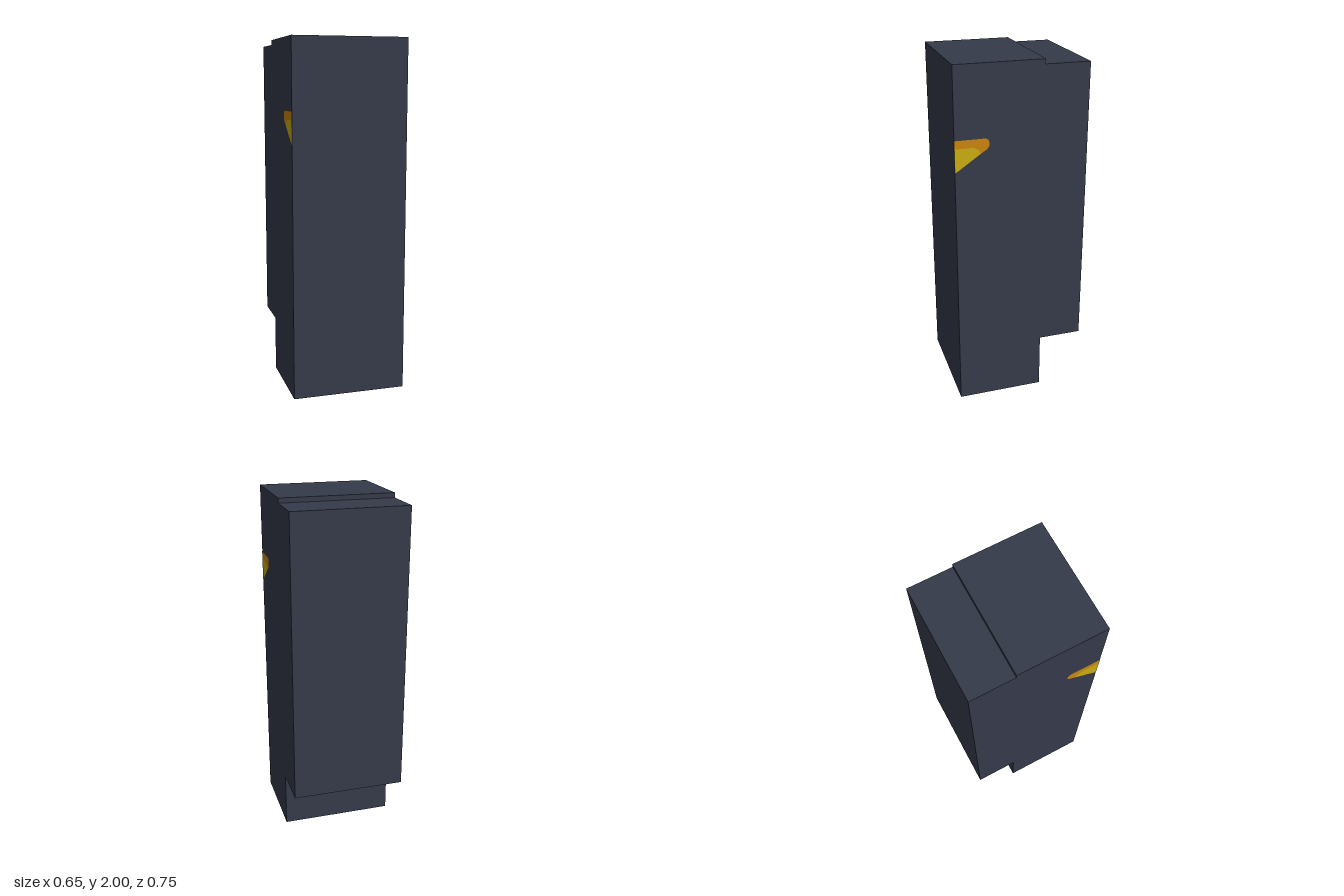
import * as THREE from 'three';

export function createModel() {
  const model = new THREE.Group();
  const slate = new THREE.MeshStandardMaterial({ name: 'dark slate', color: 0x353a4a });
  const orange = new THREE.MeshStandardMaterial({ name: 'orange', color: 0xc9840f });
  const yellow = new THREE.MeshStandardMaterial({ name: 'yellow', color: 0xc8ac10 });

  const halfWidth = 0.326;

  // Box given by its height range and depth range
  function addBlock(name, y0, y1, z0, z1) {
    const mesh = new THREE.Mesh(new THREE.BoxGeometry(halfWidth * 2, y1 - y0, z1 - z0), slate);
    mesh.name = name;
    mesh.position.set(0, (y0 + y1) / 2, (z0 + z1) / 2);
    model.add(mesh);
  }
  addBlock('mainBody', 0, 2, -0.123, 0.373);
  addBlock('backBlock', 0.323, 1.973, -0.373, -0.123);

  // Painted side marks, outlined as [z, y]
  const bandOutline = [
    [0.373, 1.605], [0.204, 1.605], [0.19, 1.598], [0.183, 1.585], [0.183, 1.566],
    [0.193, 1.548], [0.23, 1.524], [0.242, 1.545], [0.267, 1.56], [0.373, 1.56],
  ];
  const wedgeOutline = [
    [0.373, 1.56], [0.267, 1.56], [0.242, 1.545], [0.23, 1.524], [0.362, 1.434], [0.373, 1.43],
  ];
  function addMark(name, outline, material, side) {
    const shape = new THREE.Shape(outline.map(([z, y]) => new THREE.Vector2(-side * z, y)));
    const mesh = new THREE.Mesh(new THREE.ShapeGeometry(shape), material);
    mesh.name = name;
    mesh.rotation.y = side * Math.PI / 2;
    mesh.position.x = side * (halfWidth + 0.001);
    model.add(mesh);
  }
  for (const [side, label] of [[1, 'left'], [-1, 'right']]) {
    addMark(label + 'OrangeBand', bandOutline, orange, side);
    addMark(label + 'YellowWedge', wedgeOutline, yellow, side);
  }
  return model;
}
